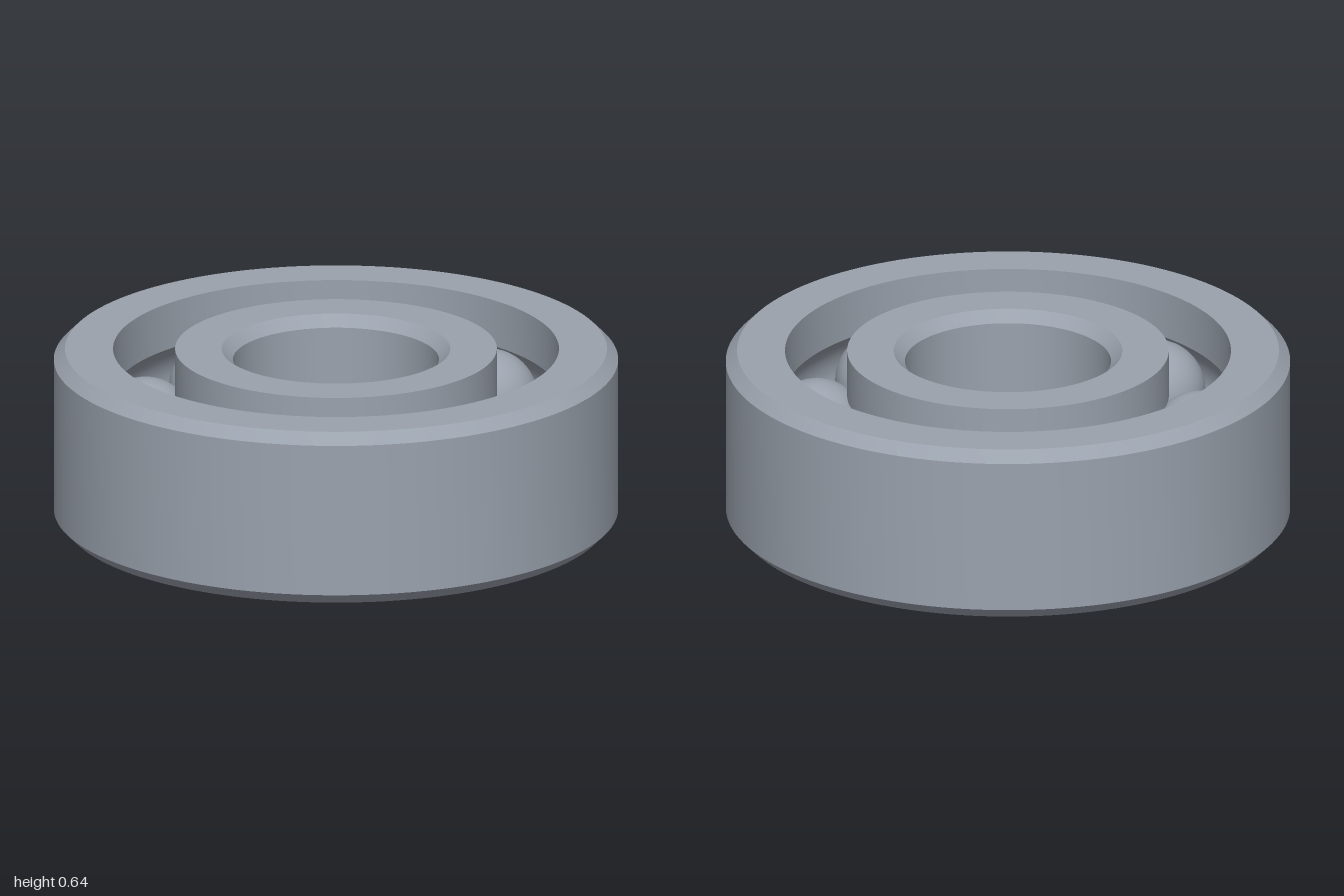
import * as THREE from 'three';
import { toCreasedNormals } from 'three/addons/utils/BufferGeometryUtils.js';

const HEIGHT = 0.636, MID = HEIGHT / 2, CHAMFER = 0.04;
const PITCH = 0.68, BALL = 0.177, GROOVE = 0.184, BALLS = 8;

// Raceway arc centred on the ball circle; dir +1 cuts the outer ring, -1 the inner ring
function raceway(wall, dir) {
  const half = Math.acos(Math.abs(wall - PITCH) / GROOVE);
  const points = [];
  for (let i = 0; i <= 16; i++) {
    const a = half * (1 - i / 8);
    points.push([PITCH + dir * GROOVE * Math.cos(a), MID + dir * GROOVE * Math.sin(a)]);
  }
  return points;
}

// Revolve a closed counter-clockwise profile, keeping its edges sharp
function ring(name, profile, material) {
  const points = [...profile, profile[0]].map(([r, y]) => new THREE.Vector2(r, y));
  const geometry = toCreasedNormals(new THREE.LatheGeometry(points, 128), Math.PI / 7);
  const mesh = new THREE.Mesh(geometry, material);
  mesh.name = name;
  return mesh;
}

export function createModel() {
  const group = new THREE.Group();
  group.name = 'ballBearing';
  const steel = new THREE.MeshStandardMaterial({ color: 0x9aa2ad });
  steel.name = 'steel';

  // Outer ring: chamfered outside, raceway inside
  const outerWall = 0.79;
  group.add(ring('outerRing', [
    [outerWall, 0], [1 - CHAMFER, 0], [1, CHAMFER],
    [1, HEIGHT - CHAMFER], [1 - CHAMFER, HEIGHT], [outerWall, HEIGHT],
    ...raceway(outerWall, 1),
  ], steel));

  // Inner ring: chamfered bore, raceway outside
  const innerWall = 0.57, bore = 0.365;
  group.add(ring('innerRing', [
    [bore, HEIGHT - CHAMFER], [bore, CHAMFER], [bore + CHAMFER, 0], [innerWall, 0],
    ...raceway(innerWall, -1),
    [innerWall, HEIGHT], [bore + CHAMFER, HEIGHT],
  ], steel));

  // Balls spaced evenly round the pitch circle
  const balls = new THREE.Group();
  balls.name = 'balls';
  const ballGeometry = new THREE.SphereGeometry(BALL, 40, 28);
  for (let i = 0; i < BALLS; i++) {
    const a = THREE.MathUtils.degToRad(12) + (i / BALLS) * Math.PI * 2;
    const ball = new THREE.Mesh(ballGeometry, steel);
    ball.name = 'ball';
    ball.position.set(PITCH * Math.cos(a), MID, PITCH * Math.sin(a));
    balls.add(ball);
  }
  group.add(balls);
  return group;
}
